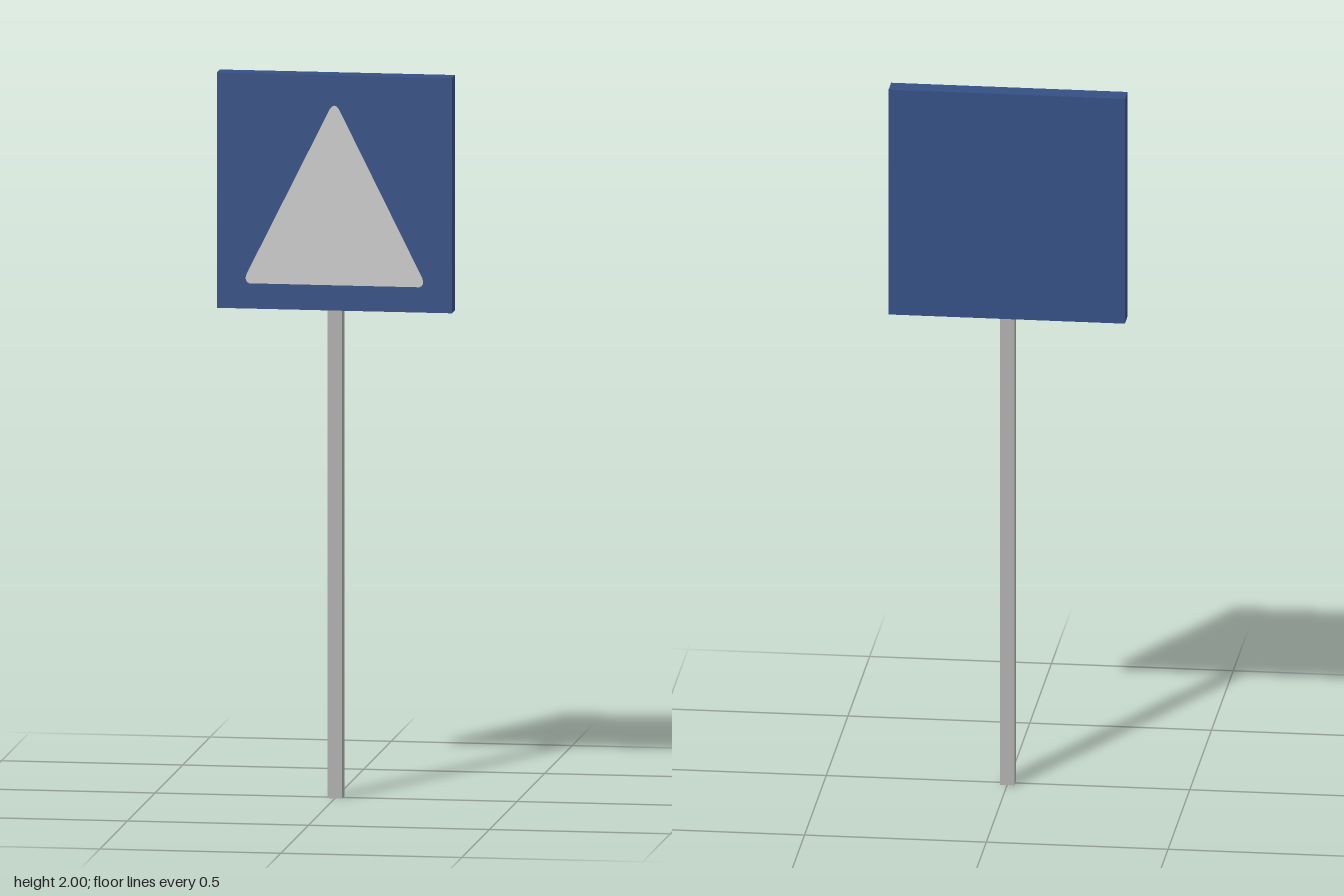
import * as THREE from 'three';

export function createModel() {
  const group = new THREE.Group();
  const material = (name, color) => {
    const m = new THREE.MeshStandardMaterial({ color });
    m.name = name;
    return m;
  };
  const blue = material('signBlue', 0x355085);
  const grey = material('postGrey', 0xb0b0b0);
  const pale = material('symbolPaleGrey', 0xcccccc);

  const add = (name, geometry, mat, x, y, z) => {
    const mesh = new THREE.Mesh(geometry, mat);
    mesh.name = name;
    mesh.position.set(x, y, z);
    group.add(mesh);
  };

  // Square post and sign board
  add('post', new THREE.BoxGeometry(0.04, 1.35, 0.04), grey, 0, 0.675, 0);
  add('signBoard', new THREE.BoxGeometry(0.65, 0.65, 0.058), blue, 0, 1.675, 0);

  // Thin triangle with softened corners on the front face
  const s = new THREE.Shape();
  s.moveTo(-0.235, 1.42);
  s.lineTo(0.235, 1.42);
  s.quadraticCurveTo(0.25, 1.425, 0.243, 1.445);
  s.lineTo(0.012, 1.908);
  s.quadraticCurveTo(0, 1.925, -0.012, 1.908);
  s.lineTo(-0.243, 1.445);
  s.quadraticCurveTo(-0.25, 1.425, -0.235, 1.42);
  const triangle = new THREE.ExtrudeGeometry(s, { depth: 0.001, bevelEnabled: false, curveSegments: 4 });
  add('triangleSymbol', triangle, pale, 0, 0, 0.029);

  return group;
}
